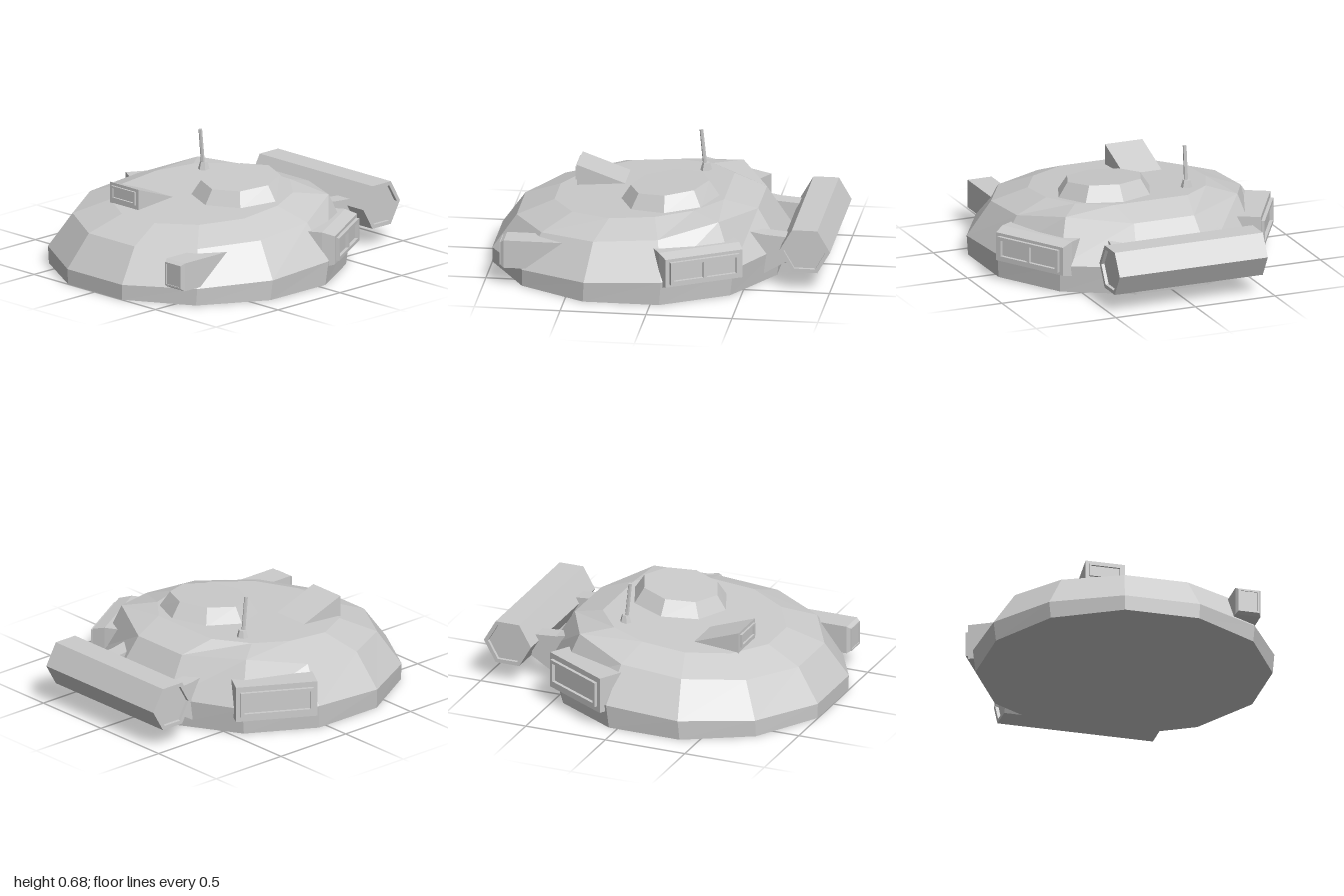
import * as THREE from 'three';

const material = new THREE.MeshStandardMaterial({ color: 0xcccccc, flatShading: true });

function add(parent, name, geometry, x = 0, y = 0, z = 0) {
  const mesh = new THREE.Mesh(geometry, material);
  mesh.name = name;
  mesh.position.set(x, y, z);
  parent.add(mesh);
  return mesh;
}

// Skin between rings of [x, y, z] points (counter-clockwise from above, bottom ring first), capped
function loft(rings) {
  const pos = [], n = rings[0].length;
  const tri = (a, b, c) => pos.push(...a, ...b, ...c);
  for (let r = 0; r < rings.length - 1; r++) {
    for (let i = 0; i < n; i++) {
      const j = (i + 1) % n, lo = rings[r], hi = rings[r + 1];
      tri(lo[i], lo[j], hi[j]);
      tri(lo[i], hi[j], hi[i]);
    }
  }
  const last = rings[rings.length - 1];
  for (let i = 1; i < n - 1; i++) {
    tri(rings[0][0], rings[0][i + 1], rings[0][i]);
    tri(last[0], last[i], last[i + 1]);
  }
  const g = new THREE.BufferGeometry();
  g.setAttribute('position', new THREE.Float32BufferAttribute(pos, 3));
  g.computeVertexNormals();
  return g;
}

// Regular polygon ring whose height is a function of z
function ring(n, radius, cx, cz, height, phase = 0) {
  return Array.from({ length: n }, (_, i) => {
    const t = phase + i * 2 * Math.PI / n;
    const z = cz + radius * Math.cos(t);
    return [cx + radius * Math.sin(t), height(z), z];
  });
}

// Side profile of [z, y] points extruded across x0..x1
function profile(points, x0, x1) {
  const shape = new THREE.Shape(points.map(([z, y]) => new THREE.Vector2(-z, y)));
  const g = new THREE.ExtrudeGeometry(shape, { depth: x1 - x0, bevelEnabled: false });
  return g.rotateY(Math.PI / 2).translate(x0, 0, 0);
}

// Rectangular rim facing +z with an open middle
function rim(w, h, t, depth) {
  const rect = (Type, a, b) => new Type([[-a, -b], [a, -b], [a, b], [-a, b]].map(p => new THREE.Vector2(...p)));
  const shape = rect(THREE.Shape, w / 2, h / 2);
  shape.holes.push(rect(THREE.Path, w / 2 - t, h / 2 - t));
  return new THREE.ExtrudeGeometry(shape, { depth, bevelEnabled: false });
}

// Four-sided frustum along z, from a back rectangle to a front rectangle
function frustum(w0, h0, w1, h1, depth) {
  const rect = (w, h, y) => [[-w / 2, y, h / 2], [w / 2, y, h / 2], [w / 2, y, -h / 2], [-w / 2, y, -h / 2]];
  return loft([rect(w0, h0, 0), rect(w1, h1, depth)]).rotateX(Math.PI / 2);
}

export function createModel() {
  const model = new THREE.Group();
  model.name = 'turret';

  // Twelve-sided hull with a roof rising toward the back
  const phase = Math.PI / 12, k = 1 / Math.cos(phase);
  const base = ring(12, 0.828 * k, 0, 0.17, () => 0, phase);
  const belt = ring(12, 0.84 * k, 0, 0.16, z => 0.138 - 0.048 * z, phase);
  const shoulder = ring(12, 0.703 * k, 0, 0.16, z => 0.35 - 0.075 * z, phase);
  const roof = ring(12, 0.5 * k, 0, 0.15, z => 0.422 - 0.08 * z, phase);
  for (const [i, s] of [[4, 1], [7, -1]]) {
    shoulder[i] = [s * 0.54, 0.42, -0.36];
    roof[i] = [s * 0.41, 0.438, -0.2];
  }
  roof[5][0] = 0.23;
  roof[6][0] = -0.23;
  add(model, 'hull', loft([base, belt, shoulder, roof]));

  // Eight-sided hatch on the roof
  add(model, 'hatch', loft([
    ring(8, 0.29, 0.155, -0.028, z => 0.415 - 0.08 * z),
    ring(8, 0.228, 0.155, -0.025, z => 0.508 - 0.11 * z),
  ]));

  // Antenna
  add(model, 'antennaBase', new THREE.CylinderGeometry(0.022, 0.036, 0.05, 6), -0.3, 0.455, -0.175);
  add(model, 'antennaRod', new THREE.CylinderGeometry(0.011, 0.012, 0.23, 6), -0.3, 0.565, -0.158)
    .rotation.x = 0.1;

  // Wedge-shaped sight on the roof
  const sight = new THREE.Group();
  sight.name = 'sight';
  add(sight, 'sightHousing', profile([[0.27, 0.4], [0.27, 0.36], [0.55, 0.36], [0.55, 0.5]], -0.335, -0.1));
  add(sight, 'sightWindowRim', rim(0.195, 0.08, 0.012, 0.012), -0.217, 0.443, 0.55);
  model.add(sight);

  // Lamp housing at the front left
  const lamp = new THREE.Group();
  lamp.name = 'lamp';
  add(lamp, 'lampHousing', profile([[0.53, 0.277], [0.7, 0.11], [0.88, 0.11], [0.88, 0.277]], 0.47, 0.62));
  add(lamp, 'lampFront', frustum(0.15, 0.167, 0.126, 0.14, 0.02), 0.545, 0.1935, 0.88);
  add(lamp, 'lampRim', rim(0.126, 0.14, 0.01, 0.01), 0.545, 0.1935, 0.895);
  model.add(lamp);

  // Boxes on the rear flanks: two panes on the left, one on the right
  for (const side of [1, -1]) {
    const box = new THREE.Group();
    box.name = side > 0 ? 'leftSideBox' : 'rightSideBox';
    box.position.set(side * 0.59, 0.205, -0.215);
    box.rotation.y = side * Math.PI * 2 / 3;
    if (side > 0) {
      add(box, 'boxBody', frustum(0.5, 0.21, 0.5, 0.21, 0.1));
      add(box, 'boxFace', frustum(0.5, 0.21, 0.48, 0.17, 0.075), 0, 0, 0.1);
    } else {
      add(box, 'boxBody', frustum(0.48, 0.215, 0.48, 0.215, 0.175));
    }
    add(box, 'windowRim', rim(0.43, side > 0 ? 0.135 : 0.15, 0.02, 0.02), 0, 0, 0.175);
    if (side > 0) add(box, 'windowBar', new THREE.BoxGeometry(0.02, 0.1, 0.02), 0, 0, 0.183);
    model.add(box);
  }

  // Hexagonal canister across the back, with sunken ends
  const canister = new THREE.Group();
  canister.name = 'canister';
  canister.position.set(0.01, 0.24, -0.852);
  const hex = (Type, r) => new Type(Array.from({ length: 6 }, (_, i) =>
    new THREE.Vector2(r * Math.cos(i * Math.PI / 3), r * Math.sin(i * Math.PI / 3))));
  const tube = hex(THREE.Shape, 0.148);
  tube.holes.push(hex(THREE.Path, 0.122));
  const along = (shape, length) => new THREE.ExtrudeGeometry(shape, { depth: length, bevelEnabled: false })
    .translate(0, 0, -length / 2).rotateY(Math.PI / 2);
  add(canister, 'canisterShell', along(tube, 0.93));
  add(canister, 'canisterCore', along(hex(THREE.Shape, 0.123), 0.89));
  model.add(canister);

  // Brackets holding the canister
  for (const side of [1, -1]) {
    add(model, side > 0 ? 'leftBracket' : 'rightBracket', profile(
      [[-0.52, 0.3], [-0.6, 0.285], [-0.73, 0.275], [-0.75, 0.14], [-0.6, 0.05], [-0.52, 0.1]],
      side * 0.292 - 0.05, side * 0.292 + 0.05));
  }
  return model;
}
